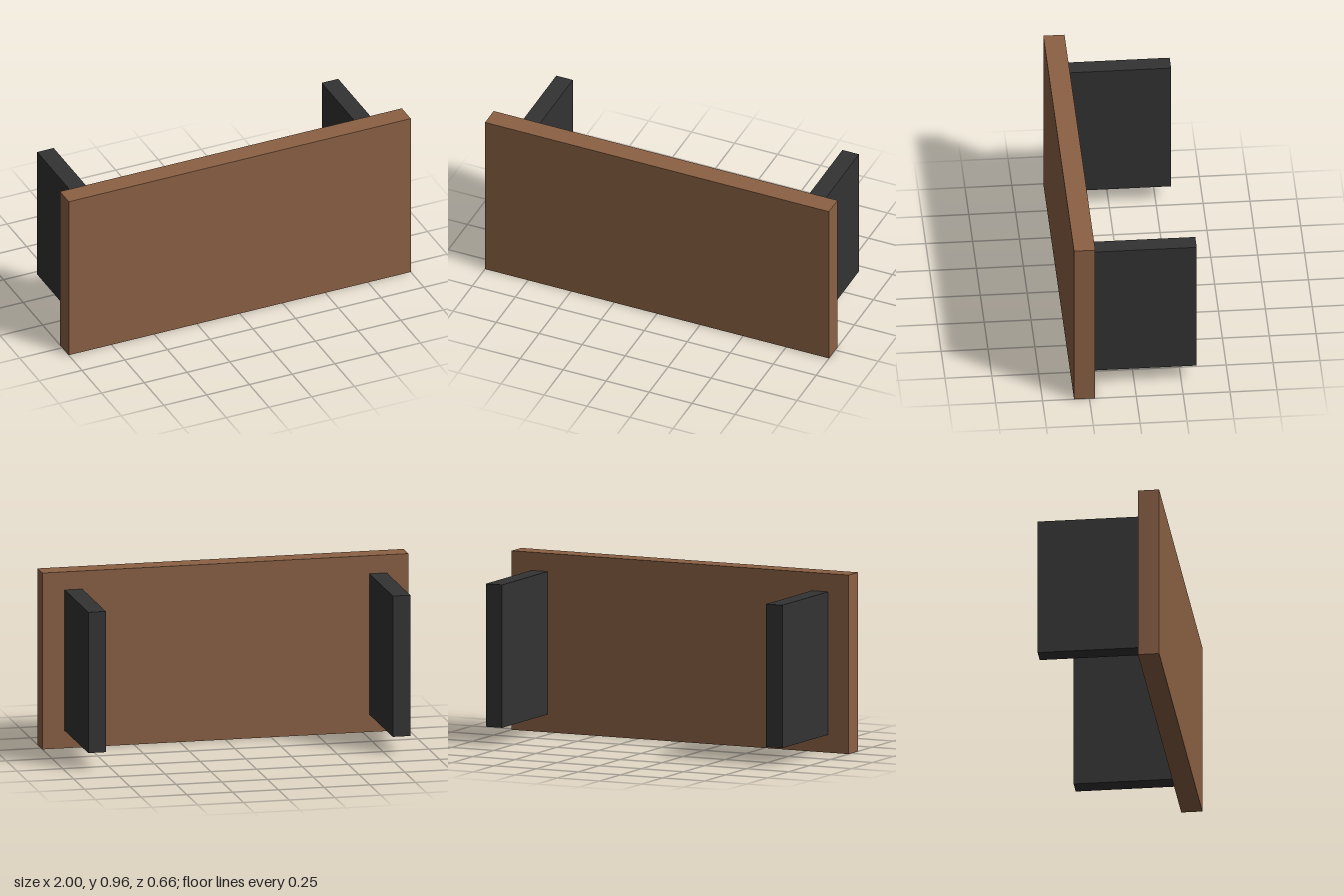
import * as THREE from 'three';

export function createModel() {
  const group = new THREE.Group();
  const wood = new THREE.MeshStandardMaterial({ color: 0x8b6144 });
  const dark = new THREE.MeshStandardMaterial({ color: 0x333333 });

  // Box given by its minimum and maximum corners
  function addBox(name, material, min, max) {
    const size = max.map((v, i) => v - min[i]);
    const mesh = new THREE.Mesh(new THREE.BoxGeometry(...size), material);
    mesh.position.set(...max.map((v, i) => (v + min[i]) / 2));
    mesh.name = name;
    group.add(mesh);
  }

  // Upright wooden board at the front
  addBox('board', wood, [-1, 0, 0.219], [1, 0.962, 0.332]);

  // Two dark slabs behind it, with a thin gap to the board
  addBox('leftSupport', dark, [0.784, 0.097, -0.332], [0.88, 0.865, 0.212]);
  addBox('rightSupport', dark, [-0.88, 0.097, -0.332], [-0.784, 0.865, 0.212]);

  return group;
}
